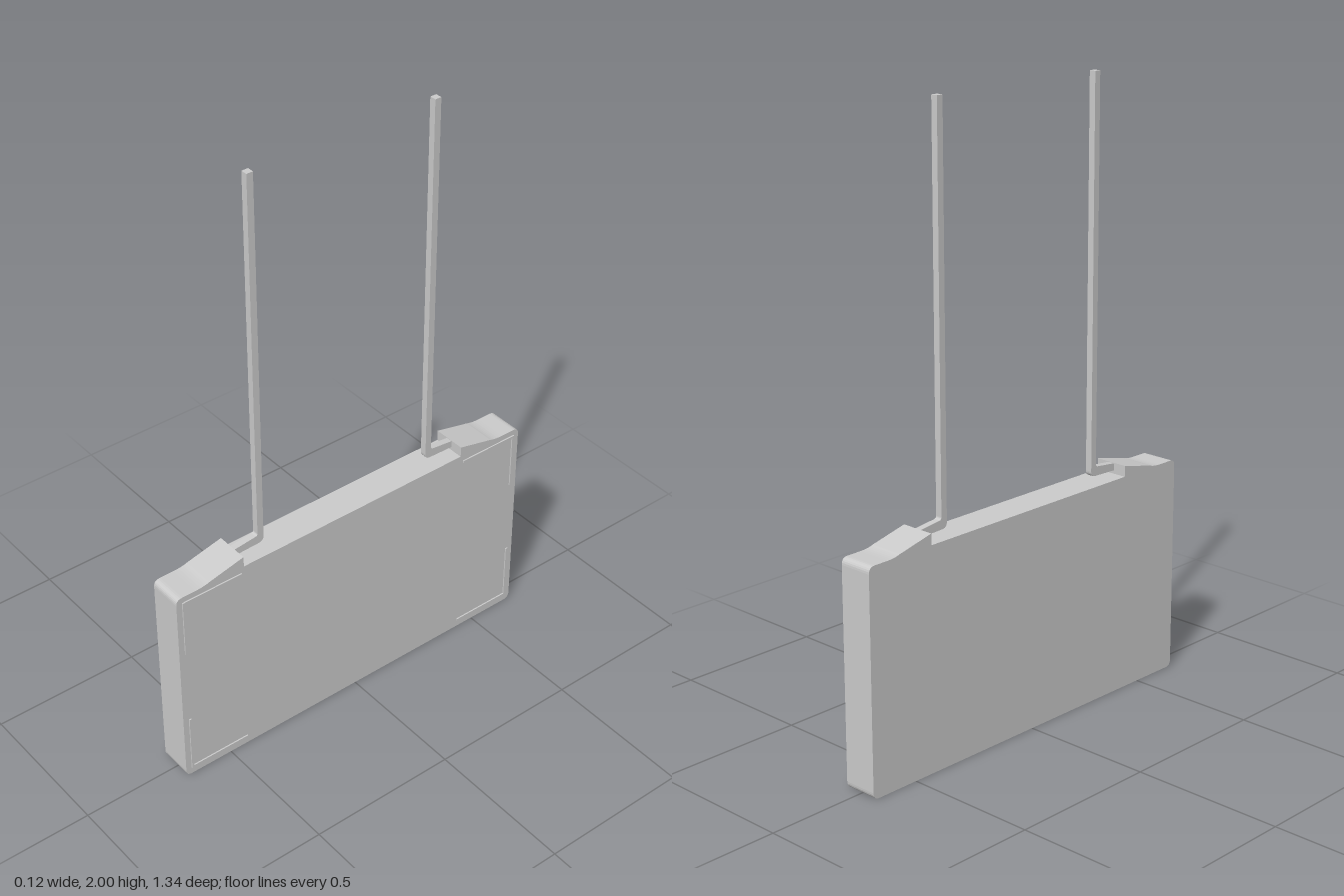
import * as THREE from 'three';

const material = new THREE.MeshStandardMaterial({ color: 0xcccccc });
const CENTRE = -0.003; // body and leads sit slightly to the right of the face marks
const FACE = 0.054;

// Extrudes a (z, y) outline along x, centred on the given x.
function slab(name, shape, width, x) {
  const geometry = new THREE.ExtrudeGeometry(shape, { depth: width, bevelEnabled: false, curveSegments: 6 });
  geometry.translate(0, 0, -width / 2);
  geometry.rotateY(-Math.PI / 2);
  geometry.translate(x, 0, 0);
  const mesh = new THREE.Mesh(geometry, material);
  mesh.name = name;
  return mesh;
}

// Flat case with rounded corners and two ramped shoulders on top
function createCase() {
  const w = 0.67, h = 0.72, r = 0.022;
  const s = new THREE.Shape();
  s.moveTo(-w + r, 0);
  s.lineTo(w - r, 0);
  s.quadraticCurveTo(w, 0, w, r);
  s.lineTo(w, h - r);
  s.quadraticCurveTo(w, h, w - r, h);
  s.lineTo(0.6, h);
  s.quadraticCurveTo(0.57, h, 0.55, 0.727);
  s.lineTo(0.425, 0.756);
  s.lineTo(0.425, h);
  s.lineTo(-0.425, h);
  s.lineTo(-0.425, 0.756);
  s.lineTo(-0.55, 0.727);
  s.quadraticCurveTo(-0.57, h, -0.6, h);
  s.lineTo(-w + r, h);
  s.quadraticCurveTo(-w, h, -w, h - r);
  s.lineTo(-w, r);
  s.quadraticCurveTo(-w, 0, -w + r, 0);
  return slab('case', s, 0.113, CENTRE);
}

// Square wire leaving the shoulder and bending upward
function createLead(side) {
  const s = new THREE.Shape();
  s.moveTo(side * 0.43, 0.731);
  s.lineTo(side * 0.335, 0.734);
  s.quadraticCurveTo(side * 0.317, 0.735, side * 0.317, 0.752);
  s.lineTo(side * 0.317, 2);
  s.lineTo(side * 0.339, 2);
  s.lineTo(side * 0.339, 0.772);
  s.quadraticCurveTo(side * 0.339, 0.764, side * 0.348, 0.763);
  s.lineTo(side * 0.43, 0.754);
  return slab(side > 0 ? 'frontLead' : 'backLead', s, 0.022, CENTRE);
}

// Thin raised L at one corner of the broad face
function createCornerMark(zSide, top) {
  const t = 0.008;
  const z0 = zSide * 0.65, z1 = zSide * 0.435, zi = z0 - zSide * t;
  const y0 = top ? 0.7 : 0.025, y1 = top ? 0.5 : 0.23;
  const yi = y0 + Math.sign(y1 - y0) * t;
  const s = new THREE.Shape([[z0, y0], [z1, y0], [z1, yi], [zi, yi], [zi, y1], [z0, y1]]
    .map(([z, y]) => new THREE.Vector2(z, y)));
  return slab('cornerMark', s, 0.008, FACE);
}

export function createModel() {
  const model = new THREE.Group();
  model.name = 'hangingPanel';
  model.add(createCase());
  for (const side of [1, -1]) {
    model.add(createLead(side));
    for (const top of [true, false]) model.add(createCornerMark(side, top));
  }
  return model;
}
